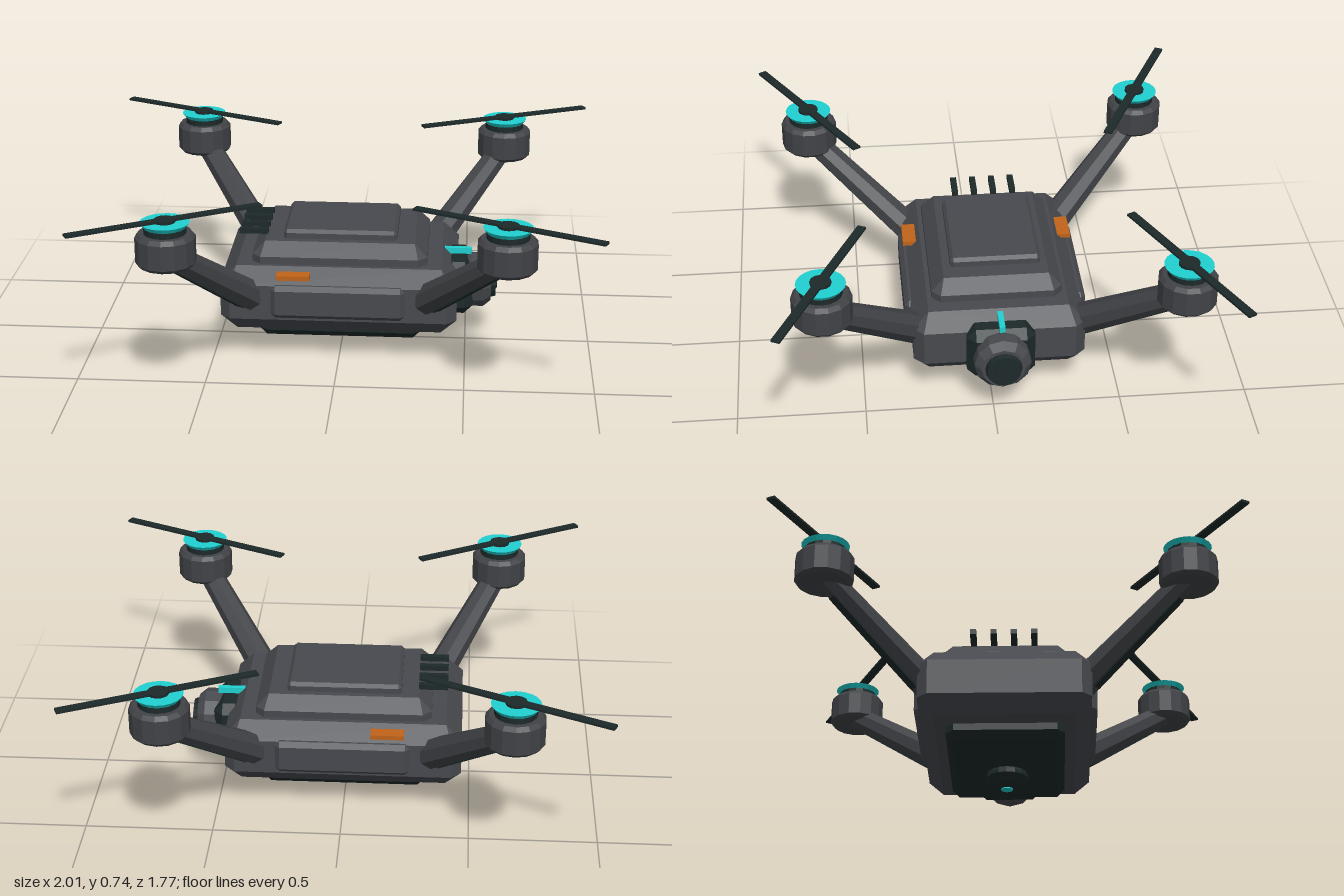
import * as THREE from 'three';
import { ConvexGeometry } from 'three/addons/geometries/ConvexGeometry.js';

const paint = (name, color) => {
  const m = new THREE.MeshStandardMaterial({ color, flatShading: true });
  m.name = name;
  return m;
};

// Box with bevelled edges: c = bevel at top and bottom, k = cut of the upright corners
function bevelBox(w, h, d, c, k = c) {
  const pts = [];
  for (const sx of [-1, 1]) for (const sy of [-1, 1]) for (const sz of [-1, 1]) {
    const x = w / 2, y = h / 2, z = d / 2;
    for (const p of [[x, y - c, z - k], [x - k, y - c, z], [x - c, y, z - c]])
      pts.push(new THREE.Vector3(sx * p[0], sy * p[1], sz * p[2]));
  }
  return new ConvexGeometry(pts);
}

const lathe = (profile, sides) =>
  new THREE.LatheGeometry(profile.map(([r, y]) => new THREE.Vector2(r, y)), sides);

export function createModel() {
  const grey = paint('bodyGrey', 0x47494e);
  const armGrey = paint('armGrey', 0x414347);
  const dark = paint('darkGreen', 0x1d2929);
  const cyan = paint('cyan', 0x20d0d0);
  const orange = paint('orange', 0xc0641a);

  const drone = new THREE.Group();
  drone.name = 'drone';
  const add = (name, geo, mat, x = 0, y = 0, z = 0, parent = drone) => {
    const mesh = new THREE.Mesh(geo, mat);
    mesh.name = name;
    mesh.position.set(x, y, z);
    parent.add(mesh);
    return mesh;
  };
  const zc = -0.03; // body centre line

  // Stacked hull
  add('hull', bevelBox(0.93, 0.265, 0.67, 0.062, 0.04), grey, 0, 0.26, zc);
  add('upperDeck', bevelBox(0.69, 0.15, 0.51, 0.05, 0.035), grey, 0, 0.397, zc);
  add('topPlate', bevelBox(0.45, 0.05, 0.355, 0.013), grey, 0, 0.482, zc - 0.003);
  add('bellyPlate', bevelBox(0.645, 0.12, 0.46, 0.03), dark, 0, 0.13, zc);

  // Side panels and orange marker lights
  for (const s of [-1, 1]) {
    add('sidePanel', bevelBox(0.525, 0.135, 0.06, 0.018), grey, 0, 0.268, zc + s * 0.328);
    add('markerLight', new THREE.BoxGeometry(0.13, 0.018, 0.07), orange, -0.175, 0.367, zc + s * 0.308);
  }

  // Rear antenna bars
  for (let i = 0; i < 4; i++)
    add('antennaBar', new THREE.BoxGeometry(0.115, 0.02, 0.024), dark, -0.348, 0.48, -0.153 + i * 0.079);

  // Belly sensor dome
  add('sensorDome', lathe([[0.07, 0.085], [0.085, 0.06], [0.085, 0.045], [0.06, 0.015], [0.04, 0.004], [0, 0.004]].reverse(), 16),
    dark, 0.043, 0, zc);
  add('sensorEye', new THREE.CylinderGeometry(0.024, 0.024, 0.006, 12), cyan, 0.043, 0.003, zc);

  // Camera, pointing along +x
  add('cameraMount', bevelBox(0.12, 0.22, 0.265, 0.035), dark, 0.468, 0.25, zc);
  const lens = new THREE.Group();
  lens.name = 'cameraLens';
  lens.position.set(0.5, 0.25, zc);
  lens.rotation.z = -Math.PI / 2;
  drone.add(lens);
  add('lensBarrel', lathe([[0, 0], [0.1, 0], [0.11, 0.02], [0.11, 0.07], [0.085, 0.1], [0, 0.1]], 12), grey, 0, 0, 0, lens);
  add('lensRing', new THREE.CylinderGeometry(0.066, 0.073, 0.025, 16), dark, 0, 0.107, 0, lens);
  add('lensGlass', new THREE.CylinderGeometry(0.036, 0.036, 0.006, 16), dark, 0, 0.121, 0, lens);
  add('statusBar', new THREE.BoxGeometry(0.115, 0.024, 0.022), cyan, 0.462, 0.373, zc - 0.003);

  // Rotors: motor x, motor z, propeller turn in degrees
  const rotors = [[-0.652, -0.708, -25.3], [0.648, -0.708, 25.3], [-0.607, 0.673, 30], [0.648, 0.646, -25.3]];
  for (const [mx, mz, turn] of rotors) {
    // Tapered arm with a dark strip beneath
    const start = new THREE.Vector3(Math.sign(mx) * 0.345, 0.275, zc + Math.sign(mz) * 0.295);
    const end = new THREE.Vector3(mx, 0.6, mz);
    const length = start.distanceTo(end);
    const arm = new THREE.Group();
    arm.name = 'arm';
    arm.position.copy(start);
    arm.lookAt(end);
    drone.add(arm);
    const beam = new THREE.CylinderGeometry(0.048, 0.062, length, 8);
    beam.rotateY(Math.PI / 8).rotateX(Math.PI / 2);
    add('armBeam', beam, armGrey, 0, 0, length / 2, arm);
    add('armStrip', new THREE.BoxGeometry(0.036, 0.02, length * 0.8), dark, 0, -0.046, length * 0.47, arm)
      .rotation.x = -0.025;

    // Motor pod, collar, cyan cap and propeller
    const rotor = new THREE.Group();
    rotor.name = 'rotor';
    rotor.position.set(mx, 0, mz);
    drone.add(rotor);
    add('motorPod', lathe([[0, 0.558], [0.1, 0.558], [0.113, 0.572], [0.113, 0.668], [0.1, 0.684], [0, 0.684]], 14),
      armGrey, 0, 0, 0, rotor);
    add('motorCollar', new THREE.CylinderGeometry(0.08, 0.08, 0.03, 16), dark, 0, 0.694, 0, rotor);
    add('motorCap', new THREE.CylinderGeometry(0.093, 0.08, 0.018, 20), cyan, 0, 0.716, 0, rotor);
    add('propellerHub', new THREE.CylinderGeometry(0.04, 0.04, 0.014, 12), dark, 0, 0.729, 0, rotor);
    add('propellerBlade', new THREE.BoxGeometry(0.766, 0.009, 0.034), dark, 0, 0.732, 0, rotor)
      .rotation.y = THREE.MathUtils.degToRad(turn);
  }
  return drone;
}
